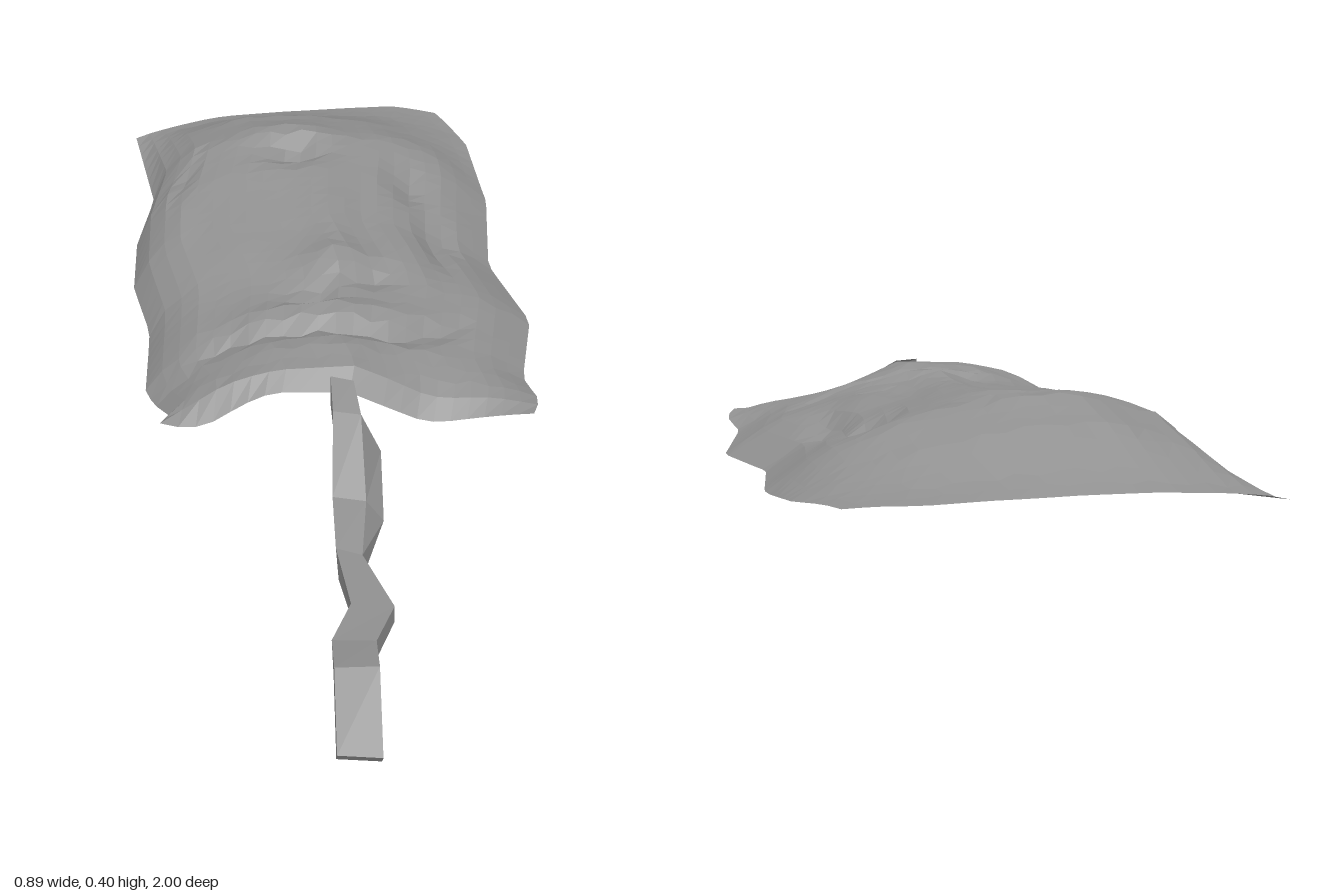
import * as THREE from 'three';

// piecewise-linear lookup through sorted [key, value] pairs
function lerpTable(pts, t) {
  if (t <= pts[0][0]) return pts[0][1];
  for (let i = 1; i < pts.length; i++) {
    const [a, p] = pts[i - 1], [b, q] = pts[i];
    if (t <= b) return p + (q - p) * (t - a) / (b - a);
  }
  return pts[pts.length - 1][1];
}

// outline of the mask: sides as [z, x], ends as [u, z]
const leftEdge = [[-0.92, -0.45], [-0.67, -0.40], [-0.5, -0.435], [-0.32, -0.435], [-0.16, -0.395], [0.07, -0.395], [0.21, -0.34], [0.275, -0.355]];
const rightEdge = [[-0.97, 0.31], [-0.83, 0.375], [-0.6, 0.4], [-0.34, 0.375], [-0.12, 0.44], [0.1, 0.395], [0.2, 0.415], [0.255, 0.395]];
const backEdge = [[0, -0.92], [0.25, -0.965], [0.85, -1], [1, -0.97]];
const frontEdge = [[0, 0.275], [0.25, 0.25], [0.5, 0.252], [0.75, 0.265], [1, 0.255]];

// heights across the mask at stations from left to right, one row per z
const stations = [0, 0.05, 0.12, 0.3, 0.5, 0.7, 0.88, 1];
const rows = [
  [-1.00, [0.26, 0.265, 0.27, 0.28, 0.285, 0.29, 0.29, 0.285]],
  [-0.92, [0.255, 0.265, 0.275, 0.30, 0.31, 0.305, 0.295, 0.28]],
  [-0.80, [0.235, 0.28, 0.32, 0.37, 0.37, 0.345, 0.30, 0.26]],
  [-0.65, [0.21, 0.30, 0.36, 0.395, 0.395, 0.365, 0.31, 0.235]],
  [-0.50, [0.19, 0.28, 0.345, 0.375, 0.38, 0.35, 0.29, 0.22]],
  [-0.30, [0.18, 0.25, 0.30, 0.335, 0.345, 0.325, 0.27, 0.205]],
  [-0.10, [0.16, 0.22, 0.27, 0.315, 0.325, 0.305, 0.26, 0.195]],
  [0.12, [0.17, 0.21, 0.255, 0.31, 0.32, 0.285, 0.25, 0.20]],
  [0.22, [0.21, 0.25, 0.285, 0.315, 0.32, 0.255, 0.24, 0.215]],
  [0.265, [0.235, 0.22, 0.215, 0.27, 0.265, 0.21, 0.215, 0.22]],
];

// face relief: [x, z, radiusX, radiusZ, height]
const relief = [
  [0.02, -0.3, 0.05, 0.16, 0.02],      // nose bridge
  [0.02, -0.16, 0.09, 0.06, 0.025],    // nose tip
  [-0.04, -0.05, 0.06, 0.03, -0.02],   // folds under the nose
  [0.08, -0.12, 0.06, 0.03, -0.025],
  [0.0, 0.01, 0.18, 0.04, 0.018],      // upper lip
  [0.0, 0.13, 0.16, 0.05, 0.01],       // lower lip
  [-0.08, -0.68, 0.1, 0.05, 0.015],    // brows
  [0.2, -0.7, 0.08, 0.05, 0.01],
  [-0.06, -0.59, 0.07, 0.04, -0.035],  // eye sockets
  [0.2, -0.52, 0.04, 0.07, -0.03],
  [-0.32, -0.55, 0.03, 0.08, -0.025],  // temple folds
  [0.25, -0.33, 0.03, 0.12, -0.025],
  [-0.2, -0.25, 0.08, 0.12, 0.01],     // cheeks
  [0.18, -0.25, 0.06, 0.1, 0.01],
];

function maskHeight(u, x, z) {
  let y = lerpTable(rows.map(([rz, h]) => [rz, lerpTable(stations.map((s, i) => [s, h[i]]), u)]), z);
  for (const [cx, cz, rx, rz, h] of relief) y += h * Math.exp(-(((x - cx) / rx) ** 2) - ((z - cz) / rz) ** 2);
  // mouth crease, curling up at one corner
  const mouthZ = 0.075 - 1.8 * Math.max(0, x - 0.08) ** 2;
  const fade = THREE.MathUtils.clamp((0.32 - Math.abs(x)) / 0.08, 0, 1);
  return y - 0.02 * fade * Math.exp(-(((z - mouthZ) / 0.025) ** 2));
}

function createMask(material) {
  const nu = 22, nv = 34;
  const geo = new THREE.PlaneGeometry(1, 1, nu, nv);
  const pos = geo.attributes.position;
  for (let j = 0; j <= nv; j++) {
    for (let i = 0; i <= nu; i++) {
      const u = i / nu, v = j / nv;
      // uneven rows keep the facets irregular
      const inside = i > 0 && i < nu && j > 0 && j < nv - 1;
      const wobble = inside ? 0.007 * Math.sin(i * 2.4 + j * 4.1) : 0;
      const z = THREE.MathUtils.lerp(lerpTable(backEdge, u), lerpTable(frontEdge, u), v) + wobble;
      const x = THREE.MathUtils.lerp(lerpTable(leftEdge, z), lerpTable(rightEdge, z), u);
      pos.setXYZ(j * (nu + 1) + i, x, maskHeight(u, x, z), z);
    }
  }
  geo.computeVertexNormals();
  const mesh = new THREE.Mesh(geo, material);
  mesh.name = 'faceMaskSheet';
  return mesh;
}

// four-sided bent strap: corners run top left, top right, bottom right, bottom left
function createStrap(material) {
  const sections = [
    [[-0.015, 0.32, 0.25], [0.03, 0.315, 0.26], [0.03, 0.24, 0.265], [-0.015, 0.25, 0.25]],
    [[-0.015, 0.3, 0.34], [0.04, 0.29, 0.34], [0.08, 0.2, 0.34], [-0.01, 0.21, 0.33]],
    [[-0.02, 0.16, 0.43], [0.045, 0.155, 0.44], [0.08, 0.105, 0.44], [-0.01, 0.1, 0.44]],
    [[-0.02, 0.14, 0.56], [0.03, 0.13, 0.57], [0.03, 0.07, 0.57], [-0.015, 0.07, 0.57]],
    [[0, 0.135, 0.71], [0.08, 0.125, 0.71], [0.08, 0.085, 0.71], [0.005, 0.085, 0.71]],
    [[-0.04, 0.14, 0.81], [0.04, 0.135, 0.81], [0.04, 0.09, 0.81], [-0.035, 0.09, 0.81]],
    [[-0.04, 0.16, 0.9], [0.04, 0.15, 0.89], [0.04, 0.115, 0.88], [-0.04, 0.12, 0.88]],
    [[-0.04, 0.05, 1], [0.04, 0.04, 1], [0.04, 0, 0.97], [-0.04, 0.015, 0.975]],
  ];
  const index = [];
  const last = (sections.length - 1) * 4;
  for (let a = 0; a < last; a += 4) {
    for (let k = 0; k < 4; k++) {
      const p = a + k, q = a + (k + 1) % 4;
      index.push(p, p + 4, q, q, p + 4, q + 4);
    }
  }
  index.push(last, last + 2, last + 1, last, last + 3, last + 2);
  const geo = new THREE.BufferGeometry();
  geo.setAttribute('position', new THREE.Float32BufferAttribute(sections.flat(2), 3));
  geo.setIndex(index);
  geo.computeVertexNormals();
  const mesh = new THREE.Mesh(geo, material);
  mesh.name = 'chinStrap';
  return mesh;
}

export function createModel() {
  const material = new THREE.MeshStandardMaterial({ color: 0x919191, flatShading: true, side: THREE.DoubleSide });
  const group = new THREE.Group();
  group.name = 'clothMask';
  group.add(createMask(material), createStrap(material));
  return group;
}
